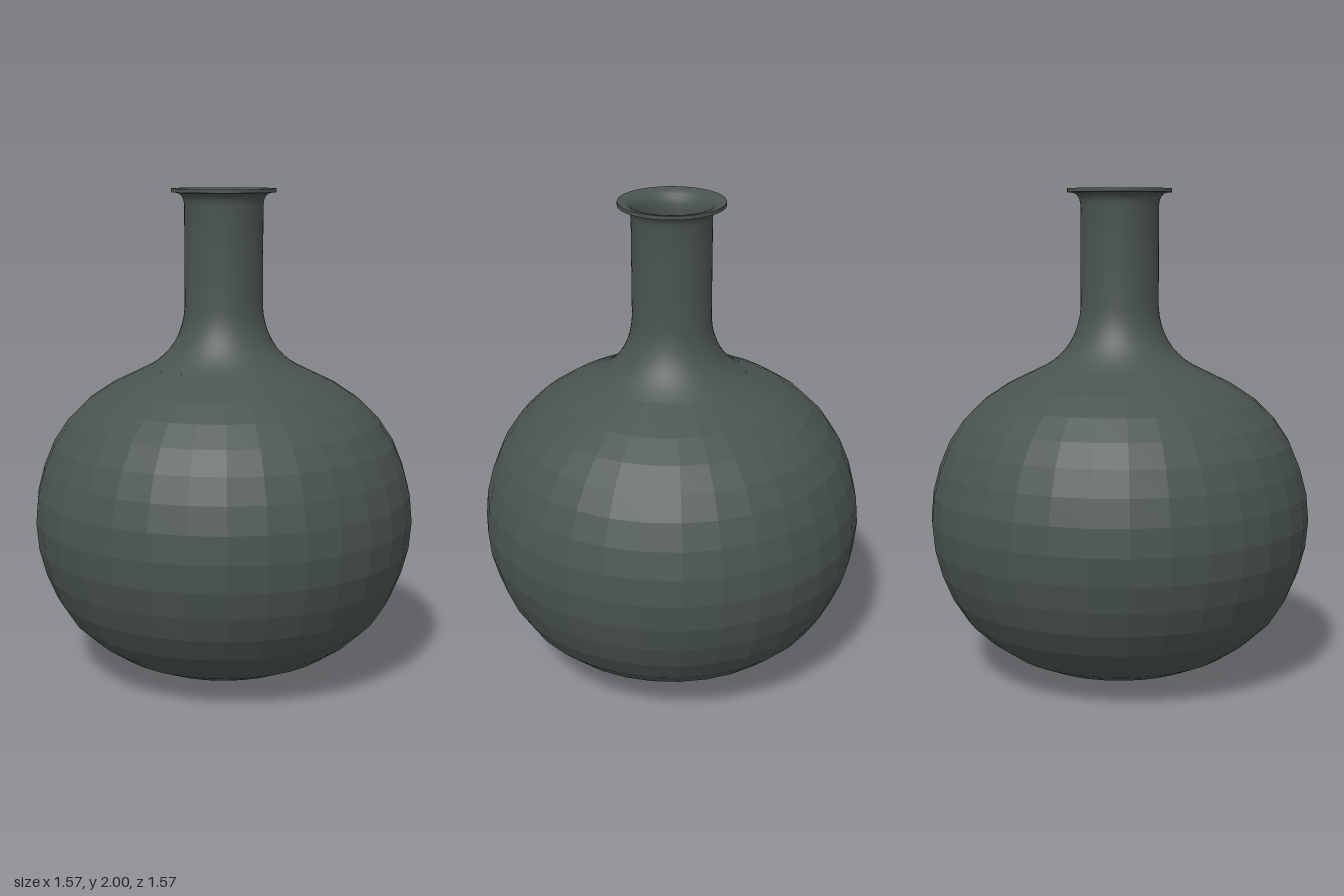
import * as THREE from 'three';
import { toCreasedNormals } from 'three/addons/utils/BufferGeometryUtils.js';

const WALL = 0.015;
const toPoints = (list) => list.map(([r, y]) => new THREE.Vector2(r, y));

export function createModel() {
  const group = new THREE.Group();
  const color = 0x4a544f;
  const add = (name, geometry, flatShading) => {
    const mesh = new THREE.Mesh(geometry, new THREE.MeshStandardMaterial({ color, flatShading }));
    mesh.name = name;
    group.add(mesh);
  };

  // Faceted round body, from the flat base up to the shoulder
  const outer = [
    [0, 0], [0.14, 0.004], [0.254, 0.016], [0.36, 0.046], [0.466, 0.093], [0.56, 0.157],
    [0.645, 0.236], [0.705, 0.331], [0.747, 0.432], [0.775, 0.538], [0.785, 0.65],
    [0.775, 0.76], [0.747, 0.866], [0.705, 0.967], [0.645, 1.057], [0.565, 1.137],
    [0.466, 1.203], [0.307, 1.28],
  ];
  add('body', new THREE.LatheGeometry(toPoints(outer), 32), true);

  // Inner wall of the body: the same profile, pulled in and run downwards
  const inner = outer.map(([r, y]) => [
    Math.max(0, r - WALL * r / 0.785), y + WALL * (0.65 - y) / 0.65,
  ]).reverse();
  inner.splice(-2, 2, [0.16, 0.02], [0, 0.02]);
  add('bodyInside', new THREE.LatheGeometry(toPoints(inner), 32), true);

  // Smooth neck with a flared lip, up the outside and back down the inside
  const neck = [
    [0.307, 1.28], [0.272, 1.302], [0.244, 1.327], [0.22, 1.353], [0.2, 1.383], [0.184, 1.415],
    [0.172, 1.45], [0.164, 1.486], [0.16, 1.525], [0.16, 1.72], [0.16, 1.935],
    [0.163, 1.954], [0.17, 1.97], [0.182, 1.98], [0.197, 1.984], [0.213, 1.985],
    [0.213, 2], [0.197, 1.999], [0.178, 1.994], [0.162, 1.983], [0.152, 1.966], [0.146, 1.945],
    [0.145, 1.92], [0.145, 1.72], [0.145, 1.525], [0.15, 1.484], [0.159, 1.443],
    [0.172, 1.405], [0.189, 1.37], [0.21, 1.34], [0.235, 1.312], [0.265, 1.288], [0.3, 1.266],
  ];
  add('neck', toCreasedNormals(new THREE.LatheGeometry(toPoints(neck), 48), 0.7), false);

  return group;
}
